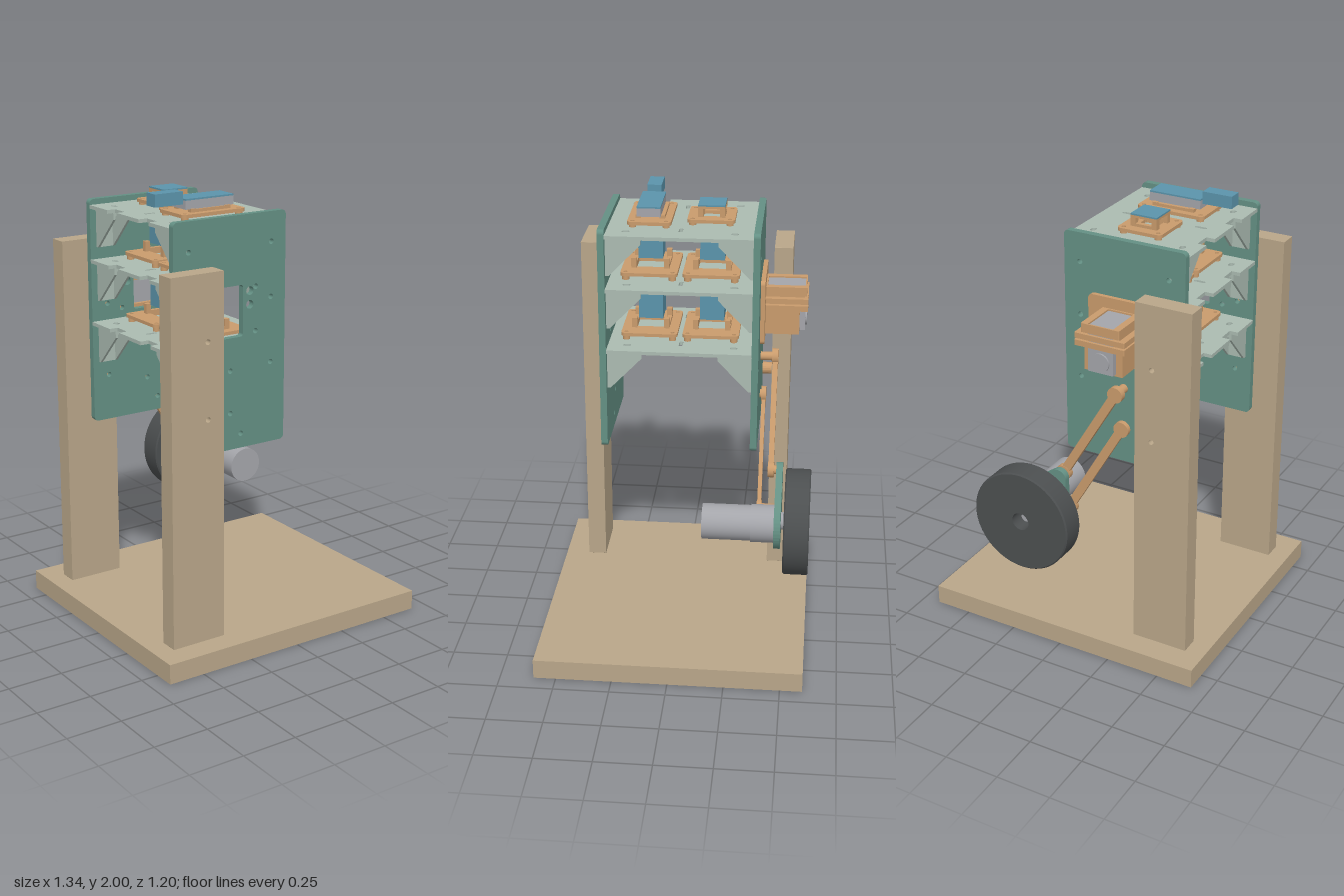
import * as THREE from 'three';

const paint = (name, color) => Object.assign(new THREE.MeshStandardMaterial({ color }), { name });

export function createModel() {
  const model = new THREE.Group();
  const wood = paint('wood', 0xb9a689), green = paint('plate green', 0x649084), pale = paint('pale green', 0xabbbb1);
  const orange = paint('printed orange', 0xc99b6c), blue = paint('blue', 0x5b94ab);
  const grey = paint('motor grey', 0xa4a5aa), dark = paint('tyre dark', 0x4c4f50);

  const add = (name, geo, mat, x = 0, y = 0, z = 0) => {
    const m = new THREE.Mesh(geo, mat);
    m.name = name;
    m.position.set(x, y, z);
    model.add(m);
    return m;
  };
  // Box given by its limits
  const box = (name, mat, x0, x1, y0, y1, z0, z1) =>
    add(name, new THREE.BoxGeometry(x1 - x0, y1 - y0, z1 - z0), mat, (x0 + x1) / 2, (y0 + y1) / 2, (z0 + z1) / 2);
  // Cylinder along z
  const rod = (name, mat, x, y, z0, z1, r) =>
    add(name, new THREE.CylinderGeometry(r, r, z1 - z0, 40).rotateX(Math.PI / 2), mat, x, y, (z0 + z1) / 2);
  const rect = (x0, x1, y0, y1, r, C = THREE.Shape) => {
    const s = new C();
    s.moveTo(x0 + r, y0);
    s.absarc(x1 - r, y0 + r, r, -Math.PI / 2, 0);
    s.absarc(x1 - r, y1 - r, r, 0, Math.PI / 2);
    s.absarc(x0 + r, y1 - r, r, Math.PI / 2, Math.PI);
    s.absarc(x0 + r, y0 + r, r, Math.PI, Math.PI * 1.5);
    return s;
  };
  const circle = (x, y, r, C = THREE.Path) => new C().absarc(x, y, r, 0, Math.PI * 2);
  const slab = (shape, depth) => new THREE.ExtrudeGeometry(shape, { depth, bevelEnabled: false, curveSegments: 10 });
  // Horizontal slab: the shape's y becomes z, the top lies at y = 0
  const flat = (shape, depth) => slab(shape, depth).rotateX(Math.PI / 2);
  // Outline wrapped around circles [x, y, r] listed counter-clockwise
  const wrap = (cs) => {
    const n = cs.length, s = new THREE.Shape();
    const out = cs.map((a, i) => {
      const b = cs[(i + 1) % n], dx = b[0] - a[0], dy = b[1] - a[1];
      return Math.atan2(dy, dx) - Math.acos((a[2] - b[2]) / Math.hypot(dx, dy));
    });
    cs.forEach((c, i) => s.absarc(c[0], c[1], c[2], out[(i + n - 1) % n], out[i]));
    return s;
  };

  // Stand: base board and two posts with bolt holes
  box('baseBoard', wood, -0.67, 0.67, 0, 0.09, -0.6, 0.6);
  const mounts = [1.43, 1.095];
  const post = rect(-0.58, -0.32, 0.09, 1.72, 0.001);
  mounts.forEach((y) => post.holes.push(circle(-0.4, y, 0.012)));
  for (const [name, z] of [['frontPost', 0.405], ['backPost', -0.485]]) add(name, slab(post, 0.085), wood, 0, 0, z);

  // Hollow spacers between the posts and the body
  for (const y of mounts) for (const z of [0.355, -0.405]) {
    const ring = circle(-0.4, y, 0.028, THREE.Shape);
    ring.holes.push(circle(-0.4, y, 0.012));
    add('postSpacer', slab(ring, 0.05), orange, 0, 0, z);
  }

  // Two side plates, window and screw holes
  const side = rect(-0.48, 0.09, 0.885, 1.91, 0.02);
  side.holes.push(rect(-0.262, -0.13, 1.385, 1.61, 0.012, THREE.Path));
  const smallHoles = [[-0.405, 1.78], [0.015, 1.78], [-0.405, 1.54], [0.015, 1.54], [-0.405, 1.25], [0.015, 1.25],
    [-0.4, 1.43], [-0.4, 1.095], [-0.195, 1.24], [-0.195, 1.05], [-0.14, 0.95], [-0.065, 1.595], [-0.065, 1.4],
    [-0.325, 1.595], [-0.325, 1.4]];
  const boltHoles = [-0.295, -0.095].flatMap((x) => [[x, 1.58], [x, 1.52]]);
  smallHoles.forEach(([x, y]) => side.holes.push(circle(x, y, 0.012)));
  boltHoles.forEach(([x, y]) => side.holes.push(circle(x, y, 0.019)));
  add('frontSidePlate', slab(side, 0.03), green, 0, 0, 0.325);
  add('backSidePlate', slab(side, 0.03), green, 0, 0, -0.352);

  // Shelf with notches in one edge, slots and holes
  const shelf = new THREE.Shape();
  [[-0.48, -0.325], [0.09, -0.325], [0.09, 0.325], [-0.48, 0.325], [-0.48, 0.17], [-0.44, 0.17], [-0.44, 0.09],
    [-0.48, 0.09], [-0.48, -0.09], [-0.44, -0.09], [-0.44, -0.17], [-0.48, -0.17]]
    .forEach(([x, z], i) => (i ? shelf.lineTo(x, z) : shelf.moveTo(x, z)));
  for (const x of [-0.405, 0.015]) for (const z of [-0.238, 0.238])
    shelf.holes.push(rect(x - 0.012, x + 0.012, z - 0.017, z + 0.017, 0.011, THREE.Path));
  for (const x of [-0.37, -0.02]) shelf.holes.push(rect(x - 0.026, x + 0.026, -0.009, 0.009, 0.008, THREE.Path));

  // Corner bracket: two flanges and two triangular webs
  const web = new THREE.Shape();
  [[0, 0], [0, -0.175], [0.015, -0.175], [0.155, -0.03], [0.155, 0]]
    .forEach(([a, b], i) => (i ? web.lineTo(a, b) : web.moveTo(a, b)));
  const bracket = (x, y, s) => {
    const z = 0.325 * s, zi = (a) => [Math.min(z, z - a * s), Math.max(z, z - a * s)];
    box('bracketTop', pale, x - 0.045, x + 0.045, y - 0.015, y, ...zi(0.155));
    const f = rect(x - 0.045, x + 0.045, y - 0.175, y, 0.004);
    f.holes.push(circle(x, y - 0.095, 0.012));
    add('bracketFlange', slab(f, 0.014), pale, 0, 0, zi(0.014)[0]);
    for (const dx of [-0.045, 0.033]) {
      // Web turned so that it points inward from the plate
      const g = slab(web, 0.012).rotateY(s > 0 ? Math.PI / 2 : -Math.PI / 2);
      add('bracketWeb', g, pale, x + dx + (s > 0 ? 0 : 0.012), y, z);
    }
  };

  // Printed carrier: feet, base plate with an opening, posts and upper frame
  const carrier = (x, y, z, hw, hd, low, ux, uz, rise) => {
    const base = rect(x - hw, x + hw, z - hd, z + hd, 0.02);
    base.holes.push(rect(x - ux + 0.02, x + ux - 0.02, z - uz + 0.02, z + uz - 0.02, 0.008, THREE.Path));
    for (const a of [-1, 1]) for (const b of [-1, 1]) {
      const fx = x + a * (hw - 0.023), fz = z + b * (hd - 0.023), px = x + a * (ux - 0.012), pz = z + b * (uz - 0.012);
      base.holes.push(circle(fx, fz, 0.009));
      add('carrierFoot', new THREE.CylinderGeometry(0.016, 0.016, low, 16, 1, true), orange, fx, y + low / 2, fz);
      box('carrierPost', orange, px - 0.012, px + 0.012, y + low, y + low + rise, pz - 0.012, pz + 0.012);
    }
    add('carrierBase', flat(base, 0.015), orange, 0, y + low + 0.015, 0);
    box('carrierRail', orange, x - ux, x + ux, y + low + 0.015, y + low + 0.028, z - uz, z - uz + 0.02);
    box('carrierRail', orange, x - ux, x + ux, y + low + 0.015, y + low + 0.028, z + uz - 0.02, z + uz);
  };

  for (const y of [1.885, 1.64, 1.355]) {
    add('shelf', flat(shelf, 0.016), pale, 0, y, 0);
    for (const x of [-0.405, 0.015]) for (const s of [-1, 1]) bracket(x, y - 0.016, s);
    // Module pair on the lower shelves
    if (y < 1.8) for (const s of [-1, 1]) {
      const z = (s > 0 ? 0.147 : -0.13);
      carrier(-0.195, y, z, 0.155, 0.127, 0.02, 0.08, 0.085, 0.06);
      box('moduleBlock', blue, -0.257, -0.135, y + 0.075, y + 0.187, z - 0.055, z + 0.055);
    }
  }

  // Square board on the top shelf
  carrier(-0.195, 1.885, -0.125, 0.105, 0.105, 0.012, 0.062, 0.06, 0.06);
  box('squareTray', orange, -0.257, -0.133, 1.95, 1.96, -0.185, -0.065);
  box('squareBoard', blue, -0.257, -0.133, 1.96, 1.967, -0.185, -0.065);
  // Long unit with a plug on the top shelf
  carrier(-0.195, 1.885, 0.143, 0.16, 0.097, 0.012, 0.1, 0.065, 0.03);
  box('longUnit', grey, -0.317, -0.073, 1.925, 1.963, 0.095, 0.2);
  box('longUnitCover', blue, -0.317, -0.073, 1.963, 1.97, 0.095, 0.2);
  box('plug', blue, -0.455, -0.317, 1.945, 2, 0.115, 0.18);

  // Servo and its housing behind the back plate
  const mount = rect(-0.355, -0.035, 1.355, 1.655, 0.02);
  mount.holes.push(rect(-0.25, -0.14, 1.4, 1.595, 0.01, THREE.Path));
  boltHoles.forEach(([x, y]) => mount.holes.push(circle(x, y, 0.01)));
  add('servoMount', slab(mount, 0.02), orange, 0, 0, -0.372);
  box('servoBody', grey, -0.255, -0.137, 1.395, 1.6, -0.55, -0.373);
  rod('servoShaft', grey, -0.196, 1.445, -0.558, -0.55, 0.042);
  for (const [x0, x1] of [[-0.285, -0.255], [-0.137, -0.105]]) box('servoWall', orange, x0, x1, 1.39, 1.51, -0.525, -0.372);
  box('servoFloor', orange, -0.285, -0.105, 1.385, 1.395, -0.525, -0.372);
  for (const [y, t, hw, zb] of [[1.53, 0.025, 0.118, -0.562], [1.562, 0.024, 0.118, -0.562], [1.607, 0.04, 0.09, -0.555]]) {
    const frame = rect(-0.196 - hw, -0.196 + hw, zb, -0.372, 0.004);
    frame.holes.push(rect(-0.255, -0.137, -0.548, -0.38, 0.002, THREE.Path));
    add('servoClamp', flat(frame, t), orange, 0, y, 0);
  }
  box('servoClampCore', orange, -0.285, -0.107, 1.505, 1.57, -0.545, -0.372);

  // Parallel arms with bosses and pins
  const arm = (name, x0, y0, x1, y1, z0, z1) => {
    add(name, slab(wrap([[x0, y0, 0.02], [x1, y1, 0.02]]), z1 - z0), orange, 0, 0, z0);
    for (const [x, y] of [[x0, y0], [x1, y1]]) {
      rod(name + 'Boss', orange, x, y, z0 - 0.002, z1 + 0.002, 0.036);
      rod(name + 'Screw', dark, x, y, z1 + 0.002, z1 + 0.005, 0.011);
    }
    rod(name + 'UpperPin', orange, x0, y0, z0, -0.352, 0.02);
    rod(name + 'LowerPin', orange, x1, y1, -0.446, z1, 0.02);
  };
  arm('upperArm', -0.195, 1.24, 0.07, 0.79, -0.432, -0.408);
  arm('lowerArm', -0.195, 1.05, 0.07, 0.592, -0.379, -0.361);

  // Motor carrier plate, motor and wheel
  const carrierPlate = wrap([[0.07, 0.592, 0.04], [0.222, 0.592, 0.112], [0.07, 0.785, 0.04]]);
  for (const [x, y] of [[0.128, 0.722], [0.175, 0.69]]) carrierPlate.holes.push(circle(x, y, 0.018));
  add('motorPlate', slab(carrierPlate, 0.03), green, 0, 0, -0.475);
  rod('gearbox', grey, 0.222, 0.592, -0.445, -0.34, 0.086);
  rod('motorBody', grey, 0.222, 0.592, -0.34, -0.12, 0.081);
  rod('wheelShaft', grey, 0.19, 0.592, -0.56, -0.47, 0.022);
  rod('wheelCollar', grey, 0.19, 0.592, -0.488, -0.474, 0.04);
  const tyre = [[0.042, -0.057], [0.234, -0.057], [0.24, -0.051], [0.24, 0.051], [0.234, 0.057], [0.042, 0.057], [0.042, -0.057]];
  // Doubled points keep the rim edges crisp
  const profile = tyre.flatMap(([r, h]) => [new THREE.Vector2(r, h), new THREE.Vector2(r, h)]);
  add('wheel', new THREE.LatheGeometry(profile, 64).rotateX(Math.PI / 2), dark, 0.19, 0.592, -0.547);
  rod('wheelHub', dark, 0.19, 0.592, -0.53, -0.49, 0.042);
  return model;
}
